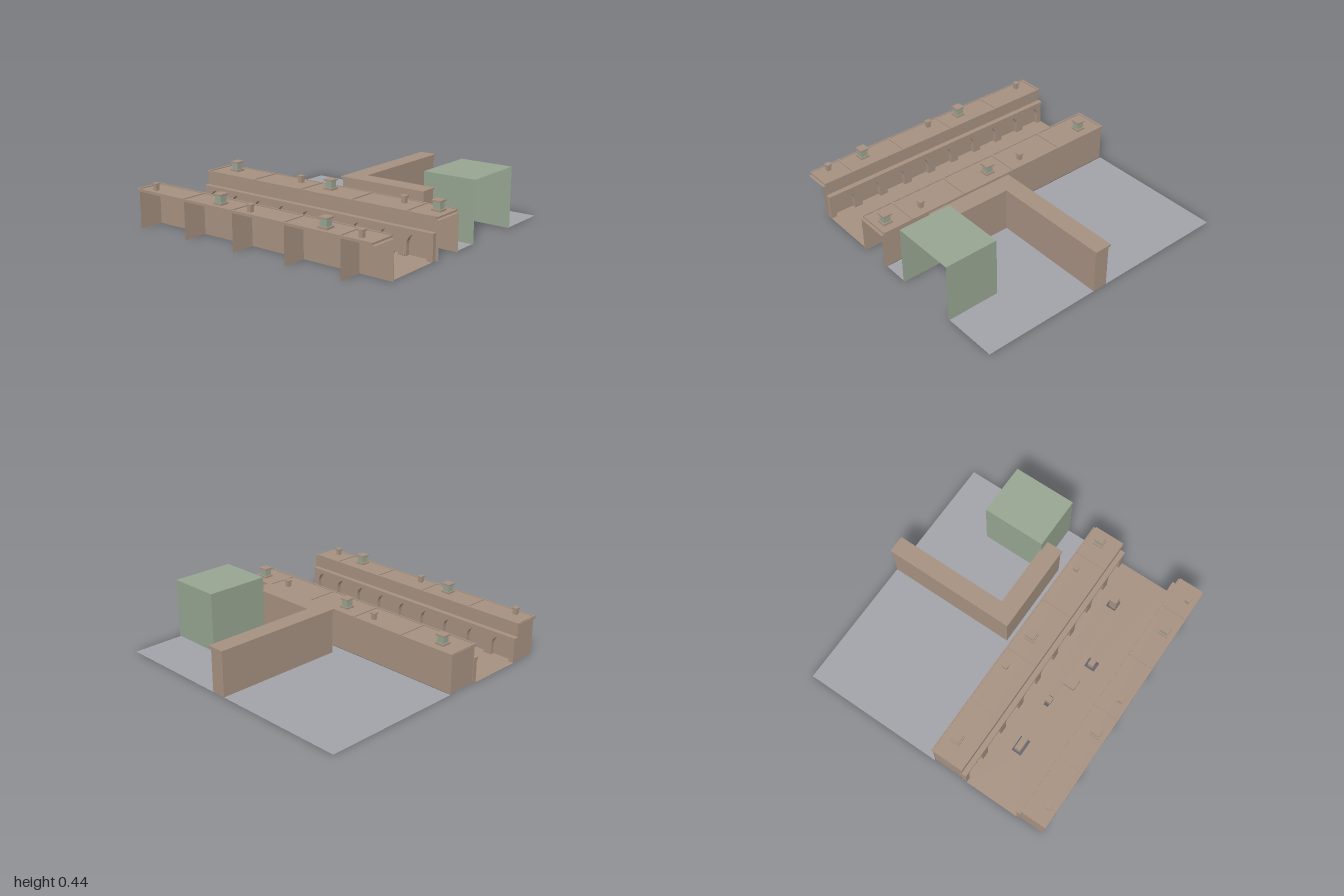
import * as THREE from 'three';

export function createModel() {
  const model = new THREE.Group();
  const mat = (name, color) => {
    const m = new THREE.MeshStandardMaterial({ color, side: THREE.DoubleSide });
    m.name = name;
    return m;
  };
  const stone = mat('brown stone', 0xa69181);
  const paving = mat('grey paving', 0xa2a3a9);
  const green = mat('sage green', 0x97a591);

  const add = (parent, name, geometry, material) => {
    const mesh = new THREE.Mesh(geometry, material);
    mesh.name = name;
    parent.add(mesh);
    return mesh;
  };
  // Box given by its extents
  const box = (parent, name, material, x0, x1, y0, y1, z0, z1) => {
    const mesh = add(parent, name, new THREE.BoxGeometry(x1 - x0, y1 - y0, z1 - z0), material);
    mesh.position.set((x0 + x1) / 2, (y0 + y1) / 2, (z0 + z1) / 2);
    return mesh;
  };
  // Thin upright walls of one height along a path of [x, z] corners
  const walls = (parent, name, material, path, height) => {
    const pos = [];
    for (let i = 0; i + 1 < path.length; i++) {
      const [ax, az] = path[i], [bx, bz] = path[i + 1];
      pos.push(ax, 0, az, bx, 0, bz, bx, height, bz, ax, 0, az, bx, height, bz, ax, height, az);
    }
    const g = new THREE.BufferGeometry();
    g.setAttribute('position', new THREE.Float32BufferAttribute(pos, 3));
    g.computeVertexNormals();
    return add(parent, name, g, material);
  };
  // Shape drawn in [x, z]; laid flat it faces up
  const outline = (pts, Type = THREE.Shape) => new Type(pts.map(([x, z]) => new THREE.Vector2(x, -z)));
  const rect = (x0, x1, z0, z1) => [[x0, z0], [x1, z0], [x1, z1], [x0, z1]];
  const flat = (parent, name, material, shapes, y = 0) => {
    const mesh = add(parent, name, new THREE.ShapeGeometry(shapes).rotateX(-Math.PI / 2), material);
    mesh.position.y = y;
    return mesh;
  };

  // Paved yard, cut out beneath the long wall block and the green block
  flat(model, 'yardPaving', paving, [
    outline([[-1, 0.085], [0.98, 0.085], [0.98, -0.115], [0.67, -0.115], [0.67, 0], [0, 0], [0, -0.98], [-1, -0.98]]),
    outline([[0.11, -0.98], [0.98, -0.98], [0.98, -0.59], [0.595, -0.59], [0.595, -0.115], [0.11, -0.115]]),
  ]);

  // L-shaped block with a projecting flat coping
  walls(model, 'angledBlockWalls', stone,
    [[0, 0], [0.67, 0], [0.67, -0.115], [0.11, -0.115], [0.11, -0.98], [0, -0.98], [0, 0]], 0.32);
  const coping = new THREE.ExtrudeGeometry(
    outline([[-0.01, 0.01], [0.675, 0.01], [0.675, -0.125], [0.12, -0.125], [0.12, -0.99], [-0.01, -0.99]]),
    { depth: 0.015, bevelEnabled: false }).rotateX(-Math.PI / 2);
  add(model, 'angledBlockCoping', coping, stone).position.y = 0.318;

  // Green block, open below and on its left side
  walls(model, 'greenBlockWalls', green, [[0.67, -0.115], [0.99, -0.115]], 0.435);
  walls(model, 'greenBlockBackWalls', green, [[0.595, -0.115], [0.595, -0.59], [0.99, -0.59]], 0.435);
  const lintel = add(model, 'greenBlockUpperWall', new THREE.PlaneGeometry(0.075, 0.1), green);
  lintel.position.set(0.6325, 0.385, -0.115);
  flat(model, 'greenBlockRoof', green, outline(rect(0.595, 0.99, -0.59, -0.115)), 0.435);

  // Street with openings around the small kerbside objects
  const street = outline(rect(-1, 0.98, 0.355, 0.765));
  for (const r of [[-0.64, -0.52, 0.48, 0.555], [-0.245, -0.165, 0.48, 0.515],
    [0.155, 0.23, 0.56, 0.64], [0.63, 0.71, 0.44, 0.515]]) {
    street.holes.push(outline(rect(...r), THREE.Path));
  }
  flat(model, 'street', stone, street);
  box(model, 'longTrough', stone, -0.625, -0.52, 0, 0.055, 0.495, 0.54);
  box(model, 'lowCrate', stone, -0.222, -0.18, 0, 0.04, 0.475, 0.52);
  box(model, 'lowPlatform', stone, -0.045, 0.04, 0, 0.03, 0.51, 0.6);
  box(model, 'smallCrate', stone, 0.17, 0.215, 0, 0.045, 0.578, 0.62);
  box(model, 'tallCrate', stone, 0.64, 0.695, 0, 0.11, 0.455, 0.508);

  // Chimneys
  const largeChimney = (parent, x, z) => {
    const g = new THREE.Group();
    g.name = 'largeChimney';
    box(g, 'chimneyBase', stone, -0.035, 0.035, 0.27, 0.295, -0.035, 0.035);
    box(g, 'chimneyBody', green, -0.026, 0.026, 0.295, 0.342, -0.026, 0.026);
    box(g, 'chimneyCap', stone, -0.034, 0.034, 0.342, 0.354, -0.034, 0.034);
    g.position.set(x, 0, z);
    parent.add(g);
  };
  const smallChimney = (parent, x, z) => {
    const g = new THREE.Group();
    g.name = 'smallChimney';
    box(g, 'chimneyBody', stone, -0.015, 0.015, 0.27, 0.32, -0.015, 0.015);
    box(g, 'chimneyCap', stone, -0.02, 0.02, 0.32, 0.332, -0.02, 0.02);
    g.position.set(x, 0, z);
    parent.add(g);
  };

  // Arcade front: nine round-headed openings
  const pitch = 0.2175, half = 0.077, spring = 0.078, count = 9;
  const firstArch = -0.99 + pitch / 2;
  const arcade = new THREE.Shape();
  arcade.moveTo(-0.995, 0);
  for (let i = 0; i < count; i++) {
    const c = firstArch + i * pitch;
    arcade.lineTo(c - half, 0);
    arcade.lineTo(c - half, spring);
    arcade.absarc(c, spring, half, Math.PI, 0, true);
    arcade.lineTo(c + half, 0);
  }
  arcade.lineTo(0.98, 0);
  arcade.lineTo(0.98, 0.167);
  arcade.lineTo(-0.995, 0.167);
  const arcadeGeo = new THREE.ExtrudeGeometry(arcade, { depth: 0.032, bevelEnabled: false, curveSegments: 10 });

  // Terrace: face = street wall z, rear = far side z
  const terrace = (name, face, rear, closed) => {
    const g = new THREE.Group();
    g.name = name;
    const s = Math.sign(face - rear);
    const span = (a, b) => [Math.min(a, b), Math.max(a, b)];
    walls(g, 'streetWall', stone, [[-0.995, face], [1, face]], 0.265);
    if (closed) walls(g, 'rearWall', stone, [[-0.995, rear], [1, rear]], 0.265);
    flat(g, 'ceiling', stone, outline(rect(-0.995, 1, ...span(face, rear))), 0.265);

    // Arcade, its ledge and the door sills
    add(g, 'arcade', arcadeGeo, stone).position.z = s > 0 ? face : face - 0.032;
    box(g, 'arcadeLedge', stone, -1, 0.982, 0.165, 0.185, ...span(face, face + s * 0.038));
    for (let i = 0; i < count; i++) {
      const c = firstArch + i * pitch;
      flat(g, 'sill', stone, outline(rect(c - half, c + half, ...span(face, face + s * 0.036))));
    }

    // Roof slab with a raised edge and ridges over the party walls
    const out = face + s * 0.008, back = rear - s * 0.01;
    box(g, 'roofSlab', stone, -1, 0.982, 0.268, 0.281, ...span(out, back));
    box(g, 'streetParapet', stone, -1, 0.982, 0.281, 0.288, ...span(out, out - s * 0.01));
    box(g, 'rearParapet', stone, -1, 0.982, 0.281, 0.286, ...span(back, back + s * 0.008));
    for (let i = 0; i < 5; i++) {
      const x = -0.99 + i * 2 * pitch;
      walls(g, 'partyWall', stone, [[x, face], [x, rear]], 0.265);
      box(g, 'roofRidge', stone, x - 0.007, x + 0.007, 0.281, 0.288, ...span(out, back));
    }
    model.add(g);
    return g;
  };

  const backTerrace = terrace('backTerrace', 0.32, 0.09, true);
  for (const x of [-0.84, 0.035, 0.905]) largeChimney(backTerrace, x, 0.18);
  for (const x of [-0.245, 0.63]) smallChimney(backTerrace, x, 0.16);

  const frontTerrace = terrace('frontTerrace', 0.797, 0.98, false);
  for (const x of [-0.28, 0.59]) largeChimney(frontTerrace, x, 0.915);
  for (const x of [-0.875, -0.005, 0.868]) smallChimney(frontTerrace, x, 0.93);

  return model;
}
